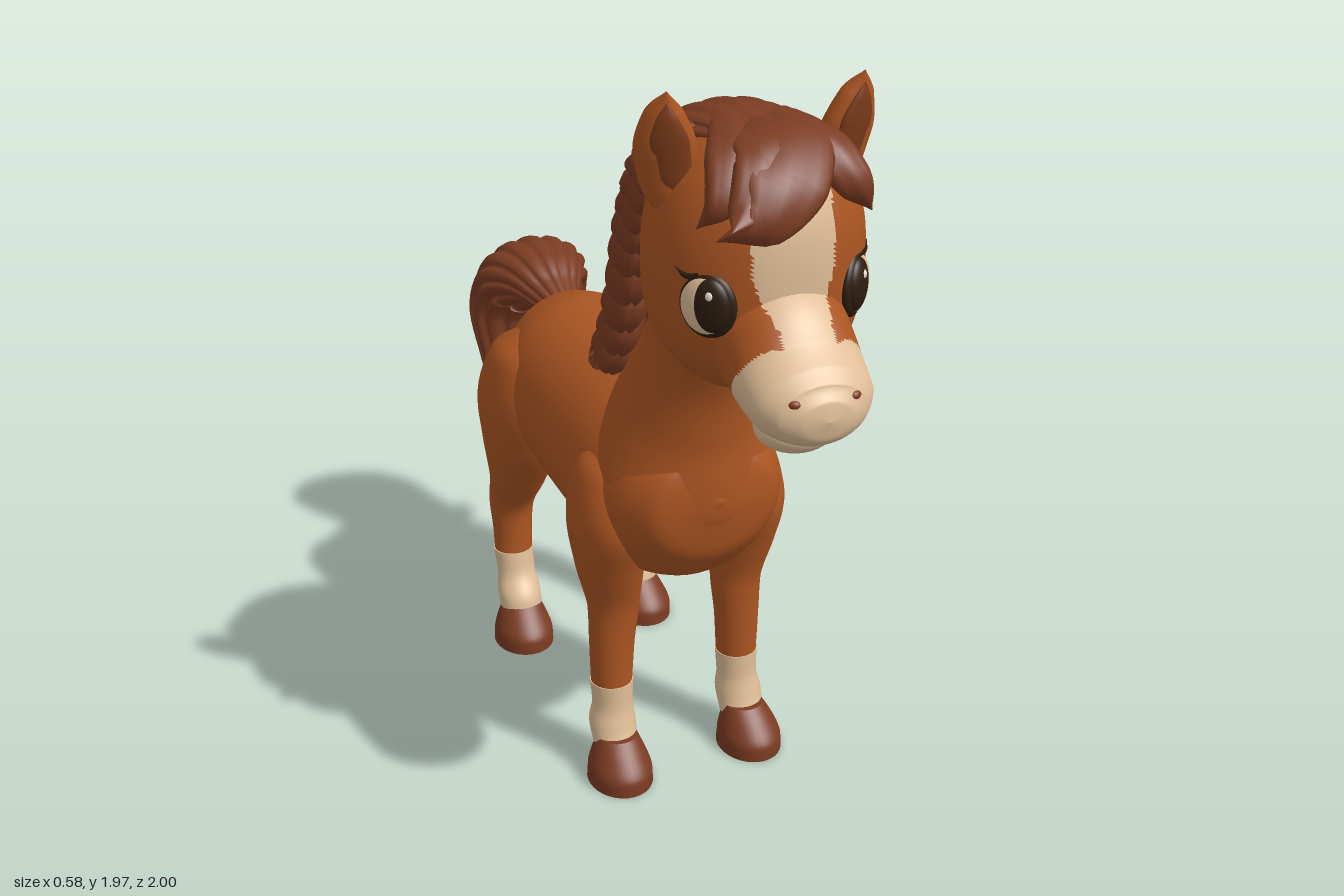
import * as THREE from 'three';
import { mergeVertices } from 'three/addons/utils/BufferGeometryUtils.js';

const mat = (name, color) => new THREE.MeshStandardMaterial({ name, color });
const coat = mat('chestnut coat', 0xab5522);
const hair = mat('brown hair', 0x7b3c23);
const horn = mat('hoof brown', 0x7b3b22);
const cream = mat('cream', 0xdfbd97);
const inner = mat('inner ear', 0x7d3c1b);
const dark = mat('eye dark', 0x2d1d0f);
const white = mat('eye highlight', 0xf4ece0);

const X = new THREE.Vector3(1, 0, 0), Y = new THREE.Vector3(0, 1, 0), Z = new THREE.Vector3(0, 0, 1);

function add(parent, name, geometry, material) {
  const mesh = new THREE.Mesh(geometry, material);
  mesh.name = name;
  parent.add(mesh);
  return mesh;
}

// Smooth skin over oval stations [x, y, z, halfWidth, halfDepth]; ridges cut grooves along the length
function loft(stations, { side = X, axis = null, segs = 32, steps = 6, ridges = 0, groove = 0.12 } = {}) {
  const path = new THREE.CatmullRomCurve3(stations.map(s => new THREE.Vector3(s[0], s[1], s[2])));
  const size = new THREE.CatmullRomCurve3(stations.map(s => new THREE.Vector3(s[3], s[4], 0)));
  const rows = (stations.length - 1) * steps;
  const pos = [], idx = [];
  for (let i = 0; i <= rows; i++) {
    const u = i / rows, c = path.getPoint(u), r = size.getPoint(u);
    const t = axis ? axis.clone() : path.getTangent(u);
    const w = side.clone().addScaledVector(t, -side.dot(t)).normalize();
    const n = t.clone().cross(w);
    for (let j = 0; j < segs; j++) {
      const a = j / segs * Math.PI * 2;
      const k = ridges ? 1 - groove * (1 - Math.abs(Math.sin(a * ridges / 2))) ** 2 : 1;
      const p = c.clone()
        .addScaledVector(w, Math.cos(a) * k * Math.max(r.x, 0.0008))
        .addScaledVector(n, Math.sin(a) * k * Math.max(r.y, 0.0008));
      pos.push(p.x, p.y, p.z);
    }
  }
  for (let i = 0; i < rows; i++) for (let j = 0; j < segs; j++) {
    const a = i * segs + j, b = i * segs + (j + 1) % segs;
    idx.push(a, b, a + segs, b, b + segs, a + segs);
  }
  // flat end caps with their own corners
  for (const [row, flip] of [[0, true], [rows, false]]) {
    const base = pos.length / 3;
    for (let j = 0; j < segs; j++) pos.push(...pos.slice((row * segs + j) * 3, (row * segs + j) * 3 + 3));
    for (let j = 1; j < segs - 1; j++) idx.push(base, base + (flip ? j + 1 : j), base + (flip ? j : j + 1));
  }
  const g = new THREE.BufferGeometry();
  g.setAttribute('position', new THREE.Float32BufferAttribute(pos, 3));
  g.setIndex(idx);
  g.computeVertexNormals();
  return g;
}

// Split faces into two material groups by a rule on the face centre
function paint(g, rule) {
  const p = g.attributes.position, id = g.index.array, off = [], on = [];
  for (let f = 0; f < id.length; f += 3) {
    const t = [id[f], id[f + 1], id[f + 2]];
    const mid = get => (get(t[0]) + get(t[1]) + get(t[2])) / 3;
    (rule(mid(i => p.getX(i)), mid(i => p.getY(i)), mid(i => p.getZ(i))) ? on : off).push(...t);
  }
  g.setIndex([...off, ...on]);
  g.addGroup(0, off.length, 0);
  g.addGroup(off.length, on.length, 1);
  return g;
}

function ellipsoid(parent, name, material, [x, y, z], [a, b, c], turn = 0) {
  const m = add(parent, name, new THREE.SphereGeometry(1, 32, 24), material);
  m.position.set(x, y, z);
  m.scale.set(a, b, c);
  m.rotation.y = turn;
  return m;
}

const mirrored = (stations, s) => stations.map(([x, ...rest]) => [x * s, ...rest]);

function buildLeg(parent, name, s, upper, sock, hoof) {
  const leg = new THREE.Group();
  leg.name = name;
  parent.add(leg);
  const down = Y.clone().negate();
  add(leg, 'upperLeg', loft(mirrored(upper, s), { axis: down }), coat);
  add(leg, 'sock', loft(mirrored(sock, s), { axis: down }), cream);
  add(leg, 'hoof', loft(mirrored(hoof, s), { axis: down }), horn);
}

const hoofAt = z => [[0.185, 0.118, z - 0.025, 0.052, 0.048], [0.188, 0.085, z - 0.014, 0.068, 0.073],
  [0.19, 0.04, z, 0.083, 0.096], [0.19, 0, z, 0.085, 0.1]];

// Slightly squared egg for the skull, narrowing towards the face
function skull() {
  let g = new THREE.SphereGeometry(1, 128, 96);
  g.deleteAttribute('uv');
  g.deleteAttribute('normal');
  g = mergeVertices(g, 1e-5);
  const p = g.attributes.position, e = 2.5;
  for (let i = 0; i < p.count; i++) {
    const v = new THREE.Vector3().fromBufferAttribute(p, i);
    v.multiplyScalar((Math.abs(v.x) ** e + Math.abs(v.y) ** e + Math.abs(v.z) ** e) ** (-1 / e));
    const slim = 1 - 0.2 * Math.max(0, v.z) ** 2 - 0.1 * Math.max(0, v.y) ** 2;
    p.setXYZ(i, v.x * 0.245 * slim, 1.57 + v.y * 0.3, 0.59 + v.z * 0.22);
  }
  g.computeVertexNormals();
  return g;
}

export function createModel() {
  const pony = new THREE.Group();
  pony.name = 'pony';

  // Trunk and neck
  add(pony, 'torso', loft([[0, 0.85, -0.625, 0, 0], [0, 0.845, -0.6, 0.13, 0.14], [0, 0.835, -0.52, 0.2, 0.215],
    [0, 0.835, -0.38, 0.24, 0.25], [0, 0.825, -0.2, 0.243, 0.252], [0, 0.815, 0, 0.243, 0.255], [0, 0.81, 0.2, 0.25, 0.25],
    [0, 0.83, 0.35, 0.225, 0.215], [0, 0.86, 0.44, 0.16, 0.14], [0, 0.88, 0.472, 0, 0]], { axis: Z, segs: 48 }), coat);
  add(pony, 'neck', loft([[0, 0.68, 0.25, 0.15, 0.15], [0, 0.85, 0.255, 0.235, 0.212], [0, 1, 0.265, 0.2, 0.205],
    [0, 1.12, 0.3, 0.165, 0.18], [0, 1.25, 0.355, 0.138, 0.152], [0, 1.4, 0.42, 0.13, 0.15],
    [0, 1.55, 0.5, 0.13, 0.13]], { segs: 48 }), coat);

  // Legs
  for (const s of [1, -1]) {
    const label = s > 0 ? 'Left' : 'Right';
    buildLeg(pony, 'front' + label + 'Leg', s,
      [[0.15, 0.97, 0.2, 0, 0], [0.17, 0.9, 0.205, 0.085, 0.1], [0.185, 0.76, 0.215, 0.103, 0.14], [0.185, 0.62, 0.215, 0.088, 0.1],
        [0.175, 0.5, 0.215, 0.069, 0.062], [0.18, 0.38, 0.215, 0.06, 0.055], [0.182, 0.255, 0.215, 0.054, 0.053]],
      [[0.182, 0.265, 0.215, 0.057, 0.055], [0.182, 0.2, 0.22, 0.054, 0.052], [0.185, 0.145, 0.225, 0.062, 0.06], [0.185, 0.09, 0.25, 0.06, 0.056]],
      hoofAt(0.287));
    buildLeg(pony, 'hind' + label + 'Leg', s,
      [[0.12, 1.02, -0.42, 0, 0], [0.15, 0.94, -0.425, 0.1, 0.13], [0.172, 0.79, -0.44, 0.116, 0.175], [0.175, 0.65, -0.45, 0.103, 0.142],
        [0.175, 0.52, -0.485, 0.08, 0.09], [0.178, 0.41, -0.54, 0.064, 0.069], [0.18, 0.33, -0.535, 0.057, 0.057], [0.182, 0.255, -0.525, 0.055, 0.05]],
      [[0.182, 0.265, -0.525, 0.058, 0.052], [0.182, 0.2, -0.51, 0.055, 0.052], [0.185, 0.14, -0.478, 0.062, 0.06], [0.185, 0.09, -0.46, 0.06, 0.056]],
      hoofAt(-0.437));
  }

  // Head, turned a touch to one side
  const head = new THREE.Group();
  head.name = 'head';
  head.rotation.y = -0.06;
  head.position.x = 0.045;
  pony.add(head);
  const pale = (x, y, z) => z > 0.785 + (y - 1.3) * 0.54 && y < 1.47 ||
    z > 0.68 && y > 1.4 && Math.abs(x) < Math.min(0.095, 0.06 + 0.35 * Math.max(0, y - 1.5));
  add(head, 'skull', paint(skull(), pale), [coat, cream]);
  add(head, 'muzzle', paint(loft([[0, 1.47, 0.62, 0.16, 0.15], [0, 1.42, 0.76, 0.152, 0.145], [0, 1.375, 0.85, 0.147, 0.115],
    [0, 1.352, 0.92, 0.137, 0.095], [0, 1.345, 0.965, 0.105, 0.073], [0, 1.345, 0.99, 0.06, 0.042], [0, 1.345, 1, 0, 0]],
  { segs: 96, steps: 12 }), pale), [coat, cream]);
  ellipsoid(head, 'chin', cream, [0, 1.26, 0.83], [0.092, 0.055, 0.085]);

  for (const s of [1, -1]) {
    // Eyes, layered outwards: rim, eyeball, iris, highlights
    const turn = s * 0.8;
    const eye = new THREE.Group();
    eye.name = s > 0 ? 'leftEye' : 'rightEye';
    eye.position.set(s * 0.17, 1.53, 0.742);
    eye.rotation.y = turn;
    head.add(eye);
    ellipsoid(eye, 'rim', dark, [0, 0, 0], [0.066, 0.075, 0.022]);
    ellipsoid(eye, 'eyeball', cream, [s * 0.003, 0, 0.004], [0.059, 0.067, 0.023]);
    ellipsoid(eye, 'iris', dark, [s * -0.008, 0.003, 0.008], [0.047, 0.062, 0.023]);
    ellipsoid(eye, 'highlight', white, [s * -0.012, 0.03, 0.026], [0.009, 0.011, 0.005]);
    add(eye, 'lash', loft([[s * 0.02, 0.066, 0.005, 0.004, 0.008], [s * 0.05, 0.06, 0.002, 0.008, 0.008],
      [s * 0.078, 0.075, 0, 0, 0]], { side: Z, segs: 10 }), dark);

    ellipsoid(head, 'nostril', inner, [s * 0.07, 1.383, 0.967], [0.016, 0.011, 0.012], s * 0.6);

    // Ears with a dark hollow
    add(head, 'ear', loft(mirrored([[0.175, 1.68, 0.575, 0.04, 0.04], [0.195, 1.76, 0.575, 0.066, 0.048], [0.212, 1.84, 0.59, 0.068, 0.043],
      [0.222, 1.92, 0.61, 0.042, 0.028], [0.226, 1.97, 0.635, 0, 0]], s), { side: new THREE.Vector3(0.95, 0, -0.3 * s) }), coat);
    add(head, 'earHollow', loft(mirrored([[0.19, 1.73, 0.612, 0.01, 0.008], [0.201, 1.78, 0.613, 0.04, 0.016], [0.215, 1.85, 0.622, 0.044, 0.016],
      [0.224, 1.91, 0.632, 0.024, 0.01], [0.227, 1.945, 0.638, 0, 0]], s), { side: new THREE.Vector3(0.95, 0, -0.3 * s), segs: 20 }), inner);
  }

  // Forelock swept across the brow
  const lockOpts = { segs: 28, ridges: 6, groove: 0.12 };
  const forelocks = [
    [[0.06, 1.85, 0.54, 0.07, 0.03], [0.03, 1.855, 0.68, 0.1, 0.035], [-0.02, 1.8, 0.775, 0.1, 0.04], [-0.085, 1.73, 0.815, 0.06, 0.035], [-0.18, 1.695, 0.8, 0, 0]],
    [[0.05, 1.86, 0.56, 0.05, 0.03], [0.1, 1.835, 0.7, 0.06, 0.035], [0.15, 1.77, 0.755, 0.045, 0.03], [0.21, 1.69, 0.73, 0, 0]],
    [[-0.05, 1.86, 0.56, 0.05, 0.03], [-0.1, 1.83, 0.69, 0.06, 0.035], [-0.15, 1.755, 0.75, 0.04, 0.03], [-0.195, 1.7, 0.73, 0, 0]],
    [[0.02, 1.86, 0.62, 0.06, 0.03], [-0.06, 1.83, 0.75, 0.06, 0.03], [-0.12, 1.75, 0.81, 0.04, 0.025], [-0.165, 1.73, 0.85, 0, 0]]];
  for (const f of forelocks) add(head, 'forelock', loft(f, lockOpts), hair);

  // Mane: a ridged core along the crest
  add(pony, 'maneCore', loft([[0, 1.84, 0.66, 0.06, 0.03], [0, 1.835, 0.54, 0.13, 0.06], [0, 1.775, 0.4, 0.16, 0.085], [0, 1.66, 0.31, 0.165, 0.085],
    [0, 1.53, 0.25, 0.16, 0.08], [0, 1.41, 0.21, 0.155, 0.075], [0, 1.27, 0.155, 0.15, 0.07], [0, 1.16, 0.09, 0.12, 0.05],
    [0, 1.1, 0.03, 0.06, 0.02]], { segs: 72, ridges: 14, groove: 0.1 }), hair);

  // Overlapping locks fall from the crest down each side of the neck
  const curve = pts => new THREE.CatmullRomCurve3(pts.map(([z, y]) => new THREE.Vector3(0, y, z)));
  const front = curve([[0.52, 1.84], [0.46, 1.73], [0.38, 1.6], [0.3, 1.46], [0.22, 1.26], [0.12, 1.12], [0.06, 1.09]]);
  const crest = curve([[0.5, 1.87], [0.33, 1.82], [0.23, 1.68], [0.17, 1.52], [0.12, 1.36], [0.05, 1.2], [-0.03, 1.12]]);
  const across = new THREE.Vector3(0, 0.4, 0.9);
  for (const s of [1, -1]) for (let i = 0; i < 10; i++) {
    const t = i / 9 * 0.66;
    const at = (u, toFront, x, w, d) => {
      const p = crest.getPoint(Math.min(1, u)).lerp(front.getPoint(Math.min(1, u)), toFront);
      return [s * x, p.y, p.z, w, d];
    };
    const out = 0.165 - 0.035 * t;
    add(pony, 'maneLock', loft([at(t, 0.35, 0.05, 0.03, 0.02), at(t + 0.06, 0.75, out - 0.03, 0.05, 0.035),
      at(t + 0.16, 0.75, out, 0.05, 0.035), at(t + 0.26, 0.4, out - 0.02, 0.04, 0.03), at(t + 0.34, 0, out - 0.06, 0, 0)],
    { ...lockOpts, side: across }), hair);
  }

  // Tail: arched ridged plume with pointed ends
  add(pony, 'tail', loft([[0, 0.98, -0.55, 0.05, 0.05], [0, 1.0, -0.62, 0.08, 0.065], [0, 1.02, -0.7, 0.125, 0.09], [0, 0.995, -0.79, 0.17, 0.115],
    [0, 0.9, -0.84, 0.18, 0.112], [0, 0.75, -0.82, 0.16, 0.095], [0, 0.6, -0.81, 0.13, 0.095], [0, 0.5, -0.84, 0.11, 0.075],
    [0, 0.435, -0.895, 0.08, 0.035], [0, 0.425, -0.94, 0.03, 0.01]], { segs: 96, ridges: 14 }), hair);
  for (const x of [-0.075, -0.025, 0.03, 0.08]) {
    add(pony, 'tailTip', loft([[x, 0.62, -0.84, 0.03, 0.04], [x, 0.5, -0.865, 0.035, 0.04],
      [x * 1.05, 0.435, -0.92, 0.028, 0.028], [x * 1.1 - 0.01, 0.44, x < 0 ? -1 : -0.97, 0, 0]], { segs: 16 }), hair);
  }
  return pony;
}
